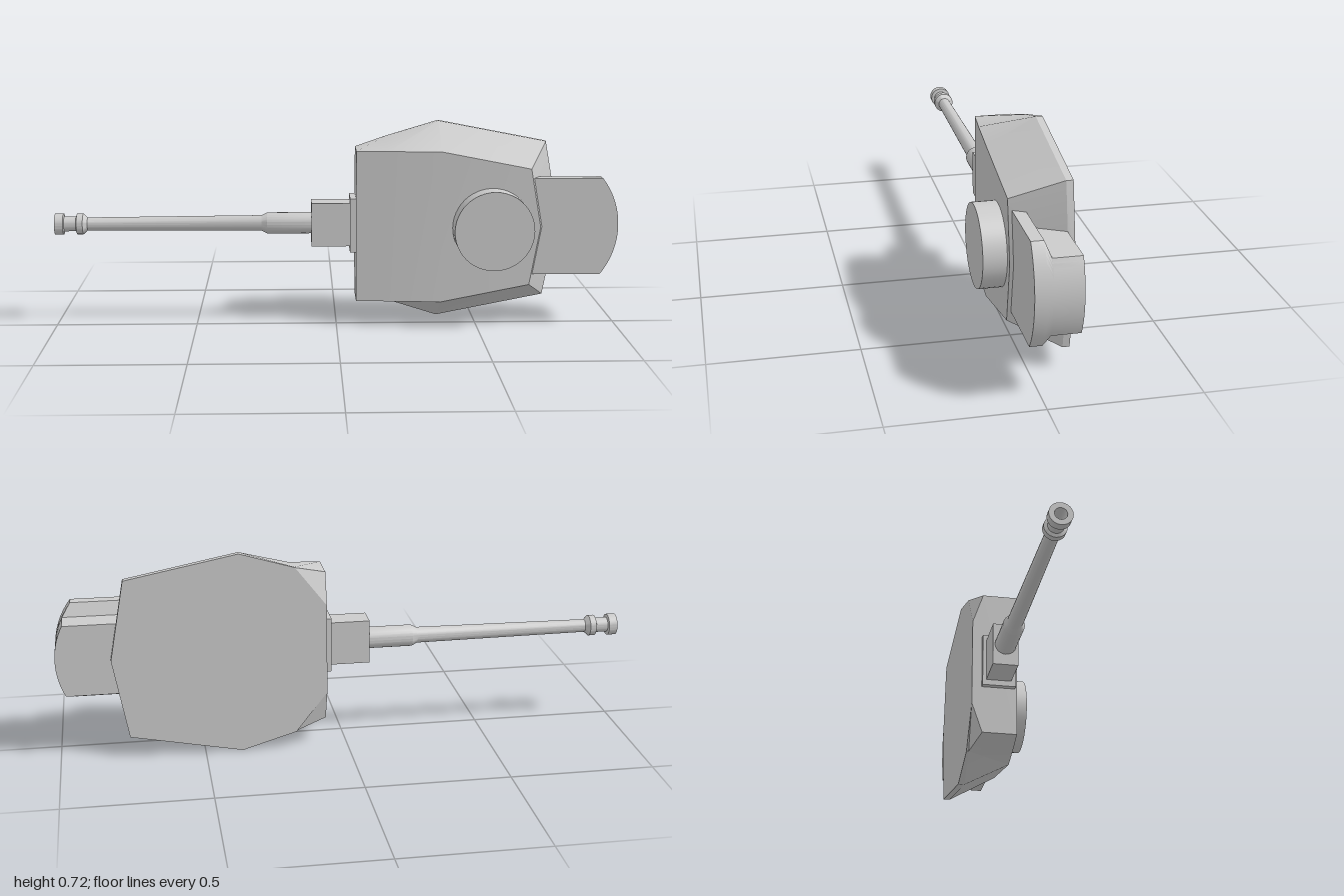
import * as THREE from 'three';
import { toCreasedNormals } from 'three/addons/utils/BufferGeometryUtils.js';

const material = new THREE.MeshStandardMaterial({ color: 0xcccccc });

// Lofts rings stacked from low to high z. Each ring lists one half, [x, halfWidth, z],
// from the gun end to the rear; the other half is mirrored in y.
function loft(rings, crease) {
  const pos = [];
  const quad = (a, b, c, d) => pos.push(...a, ...b, ...c, ...a, ...c, ...d);
  const sides = rings.map((half) => ({
    up: half.map(([x, h, z]) => [x, h, z]),
    down: half.map(([x, h, z]) => [x, -h, z]),
  }));
  const loops = sides.map((s) => [...s.down, ...s.up.slice().reverse()]);
  for (let r = 0; r < loops.length - 1; r++) {
    const lo = loops[r], hi = loops[r + 1], n = lo.length;
    for (let i = 0; i < n; i++) {
      const j = (i + 1) % n;
      quad(lo[i], lo[j], hi[j], hi[i]);
    }
  }
  // Caps as strips between the mirrored halves
  const first = sides[0], last = sides[sides.length - 1];
  for (let k = 0; k < first.up.length - 1; k++) {
    quad(first.up[k], first.up[k + 1], first.down[k + 1], first.down[k]);
    quad(last.down[k], last.down[k + 1], last.up[k + 1], last.up[k]);
  }
  const geo = new THREE.BufferGeometry();
  geo.setAttribute('position', new THREE.Float32BufferAttribute(pos, 3));
  geo.computeVertexNormals();
  return toCreasedNormals(geo, crease);
}

export function createModel() {
  const model = new THREE.Group();
  model.name = 'gunTurret';
  model.position.y = 0.362;

  const add = (name, geo, x = 0, y = 0, z = 0) => {
    const mesh = new THREE.Mesh(geo, material);
    mesh.name = name;
    mesh.position.set(x, y, z);
    model.add(mesh);
    return mesh;
  };

  // Faceted shell: clipped base plate, upright rim, sloped sides, roof
  add('turretShell', loft([
    [[0.07, 0.16, -0.133], [0.18, 0.302, -0.133], [0.37, 0.359, -0.133], [0.76, 0.283, -0.133], [0.812, 0, -0.133]],
    [[0.07, 0.27, -0.095], [0.18, 0.302, -0.125], [0.37, 0.359, -0.11], [0.76, 0.283, -0.11], [0.812, 0, -0.11]],
    [[0.07, 0.27, 0.03], [0.18, 0.27, 0.04], [0.37, 0.27, 0.055], [0.685, 0.208, 0.055], [0.722, 0, 0.055]],
  ], 0.4));

  // Rear bustle: T-shaped section with a rounded end
  const bustleRing = (half, z) => {
    const ring = [[0.66, half, z]];
    const start = Math.asin(half / 0.28);
    for (let i = 0; i <= 8; i++) {
      const a = start * (1 - i / 8);
      ring.push([0.72 + 0.28 * Math.cos(a), 0.28 * Math.sin(a), z]);
    }
    return ring;
  };
  add('rearBustle', loft([
    bustleRing(0.127, -0.11), bustleRing(0.127, -0.015),
    bustleRing(0.173, 0.003), bustleRing(0.173, 0.044),
  ], 0.4));

  // Round hatch on the roof
  const hatch = new THREE.CylinderGeometry(0.14, 0.14, 0.093, 48);
  hatch.rotateX(Math.PI / 2);
  add('commanderHatch', hatch, 0.55, 0, 0.0865);

  // Gun mount
  add('mantletPlate', new THREE.BoxGeometry(0.035, 0.195, 0.12), 0.0665, 0.002, -0.038);
  add('mantletBlock', new THREE.BoxGeometry(0.16, 0.155, 0.09), -0.008, 0.002, -0.04);

  // Barrel profile [radius, distance from centre], from sleeve to hollow muzzle
  const profile = [
    [0, 0.08], [0.038, 0.08], [0.038, 0.245], [0.028, 0.265], [0.023, 0.885],
    [0.037, 0.9], [0.037, 0.922], [0.026, 0.926], [0.026, 0.968], [0.038, 0.97],
    [0.038, 1], [0.02, 1], [0.02, 0.92], [0, 0.92],
  ].map(([r, d]) => new THREE.Vector2(r, d));
  const barrel = toCreasedNormals(new THREE.LatheGeometry(profile, 24).toNonIndexed(), 0.5);
  barrel.rotateZ(Math.PI / 2);
  add('gunBarrel', barrel, 0, 0.002, -0.04);

  return model;
}
